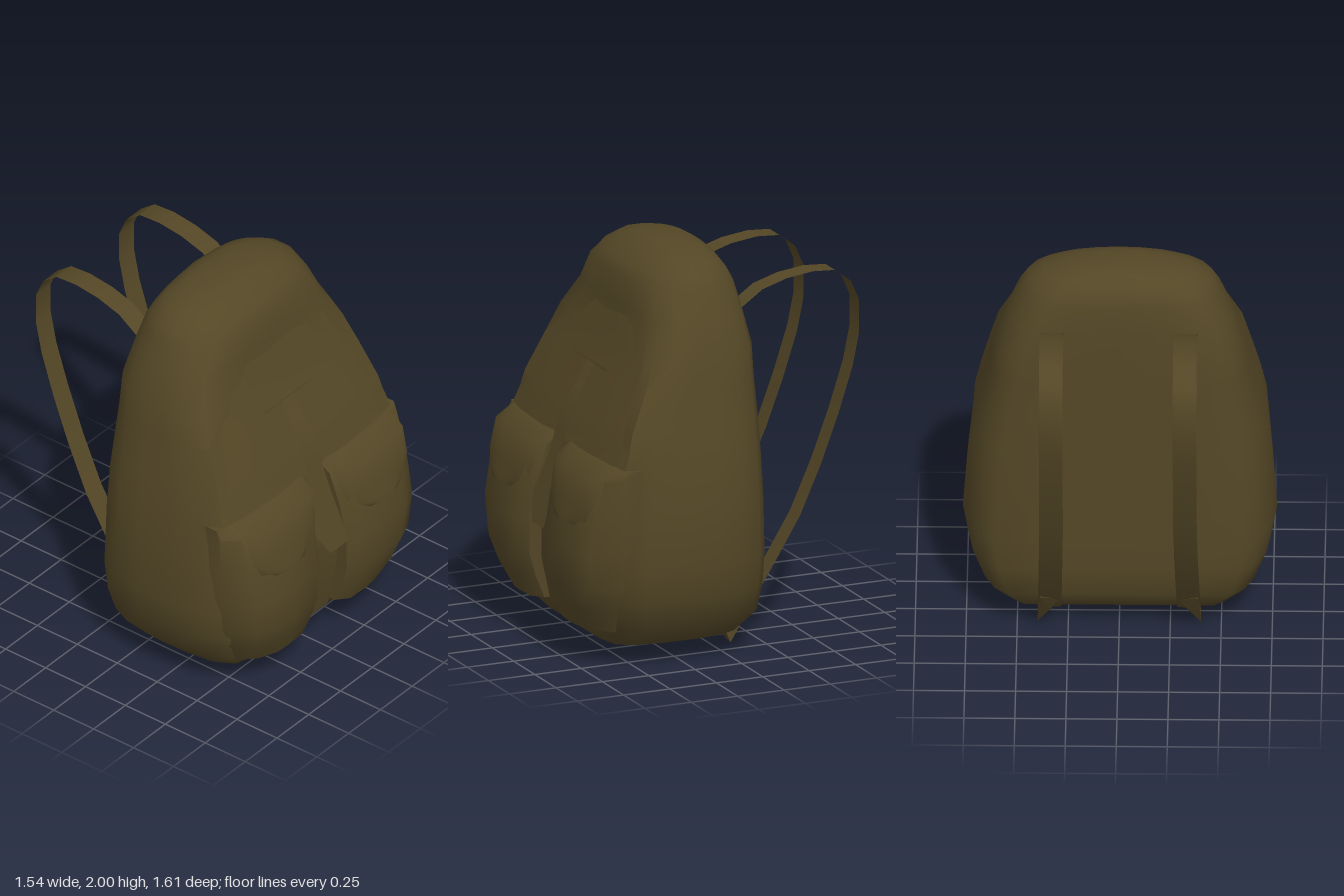
import * as THREE from 'three';
import { toCreasedNormals } from 'three/addons/utils/BufferGeometryUtils.js';
import { ConvexGeometry } from 'three/addons/geometries/ConvexGeometry.js';

const canvas = new THREE.MeshStandardMaterial({ color: 0x544726, side: THREE.DoubleSide });
canvas.name = 'olive canvas';

function geometryFrom(pos, idx) {
  const g = new THREE.BufferGeometry();
  g.setAttribute('position', new THREE.Float32BufferAttribute(pos, 3));
  g.setIndex(idx);
  g.computeVertexNormals();
  return g;
}

// Skin closed rings, listed bottom to top, and cap both ends
function loft(rings, crease) {
  const n = rings[0].length, pos = [], idx = [];
  rings.forEach(r => r.forEach(p => pos.push(...p)));
  for (let k = 0; k < rings.length - 1; k++) {
    for (let i = 0; i < n; i++) {
      const a = k * n + i, b = k * n + (i + 1) % n;
      idx.push(a, a + n, b, b, a + n, b + n);
    }
  }
  [0, rings.length - 1].forEach((k, top) => {
    const c = pos.length / 3;
    const mid = [0, 1, 2].map(d => rings[k].reduce((s, p) => s + p[d], 0) / n);
    pos.push(...mid);
    for (let i = 0; i < n; i++) {
      const a = k * n + i, b = k * n + (i + 1) % n;
      if (top) idx.push(c, b, a); else idx.push(c, a, b);
    }
  });
  return toCreasedNormals(geometryFrom(pos, idx), crease);
}

// Thin cloth strip through rows of [centre x, y, z, half width], bowed back at its edges
function ribbon(rows, bow = 0) {
  const cols = [-1, -0.8, -0.4, 0, 0.4, 0.8, 1], n = cols.length, pos = [], idx = [];
  rows.forEach(([x, y, z, h], k) => {
    cols.forEach(t => pos.push(x + t * h, y, z - bow * t ** 4));
    if (!k) return;
    for (let i = 0; i < n - 1; i++) {
      const a = (k - 1) * n + i, b = a + n;
      idx.push(a, b, a + 1, a + 1, b, b + 1);
    }
  });
  return geometryFrom(pos, idx.reverse());
}

// Pull the corners of a sack section towards an ellipse (r > 0) or square its front (r < 0)
function roundCorner([x, t], r) {
  const v = 2 * t - 1, over = Math.max(0, Math.hypot(x, v) - 1);
  const k = r < 0 && v < 0 ? 1 : 1 / (1 + r * over);
  const clamp = c => Math.max(-1, Math.min(1, c * k));
  return [clamp(x), (clamp(v) + 1) / 2];
}

export function createModel() {
  const group = new THREE.Group();
  const add = (name, geometry) => {
    const m = new THREE.Mesh(geometry, canvas);
    m.name = name;
    group.add(m);
  };

  // Main sack: [y, half width, back z, front z, corner rounding]
  const section = [[0.45, 0], [0.8, 0], [0.9, 0.07], [0.97, 0.2], [1, 0.38],
    [0.99, 0.6], [0.96, 0.8], [0.86, 0.95], [0.6, 1], [0.3, 1]];
  const outline = [...section, [0, 1],
    ...section.map(([x, t]) => [-x, t]).reverse(), [0, 0]];
  const levels = [
    [0.075, 0.5, -0.05, 0.56, 0], [0.1, 0.58, -0.11, 0.58, 0], [0.2, 0.68, -0.175, 0.63, 0],
    [0.35, 0.74, -0.185, 0.66, 0], [0.52, 0.77, -0.185, 0.67, 0], [0.8, 0.75, -0.185, 0.65, 0],
    [1.03, 0.725, -0.18, 0.6, -0.2], [1.2, 0.68, -0.18, 0.545, -0.3],
    [1.4, 0.635, -0.175, 0.45, -0.3], [1.55, 0.605, -0.175, 0.395, -0.2],
    [1.7, 0.555, -0.17, 0.355, 0.2], [1.84, 0.495, -0.17, 0.35, 0.5],
    [1.9, 0.46, -0.155, 0.31, 0.7], [1.95, 0.38, -0.12, 0.25, 0.8],
    [1.985, 0.25, -0.07, 0.19, 0.9], [2, 0.1, -0.02, 0.15, 0.9]];
  add('mainSack', loft(levels.map(([y, w, zb, zf, r]) => outline.map(p => {
    const [x, t] = roundCorner(p, r);
    return [x * w, y, zb + t * (zf - zb)];
  }), 1.0), 1.0));

  // Upper front flap lying over the sack
  add('frontFlap', ribbon([[0, 1.025, 0.625, 0.66], [0, 1.1, 0.595, 0.65], [0, 1.2, 0.56, 0.63],
    [0, 1.4, 0.463, 0.59], [0, 1.55, 0.404, 0.55], [0, 1.68, 0.358, 0.43]], 0.035));

  // Closing strap, its loose tail and the lower strap between the pockets
  add('closingStrap', ribbon([[0, 1.05, 0.635, 0.06], [0, 1.2, 0.595, 0.05],
    [0, 1.3, 0.525, 0.045], [0, 1.42, 0.46, 0.045]]));
  add('strapTail', ribbon([[0.03, 0.61, 0.77, 0.07], [-0.01, 0.74, 0.73, 0.1],
    [0, 0.9, 0.68, 0.07], [0, 1.05, 0.635, 0.06]]));
  add('lowerStrap', ribbon([[0, 0.17, 0.64, 0.1], [0, 0.4, 0.69, 0.1],
    [0.02, 0.62, 0.7, 0.1]]));
  add('strapBuckleBar', ribbon([[0, 1.395, 0.472, 0.19], [0, 1.41, 0.468, 0.19]]));

  for (const s of [1, -1]) {
    const side = s > 0 ? 'left' : 'right';

    // Front pocket: [y, inner x, outer x, front z], its outer wall sloping into the sack
    const pocket = [[0.18, 0.13, 0.48, 0.71], [0.3, 0.125, 0.55, 0.76], [0.42, 0.12, 0.59, 0.795],
      [0.6, 0.11, 0.615, 0.8], [0.8, 0.1, 0.62, 0.765], [0.98, 0.08, 0.62, 0.72],
      [1.03, 0.08, 0.62, 0.64]];
    add(side + 'Pocket', loft(pocket.map(([y, a, b, z]) => {
      const r = [[a, 0.48], [b + 0.07, 0.48], [b + 0.075, Math.min(0.6, z - 0.06)],
        [b, z - 0.04], [b - 0.1, z], [(a + b) / 2, z + 0.005], [a + 0.06, z], [a, z - 0.05]]
        .map(([x, zz]) => [x * s, y, zz]);
      return s > 0 ? r : r.reverse();
    }), 0.85));

    // Rounded pocket flap
    add(side + 'PocketFlap', ribbon([[0.37 * s, 0.73, 0.797, 0.13], [0.365 * s, 0.77, 0.79, 0.2],
      [0.36 * s, 0.85, 0.77, 0.245], [0.35 * s, 0.98, 0.735, 0.265],
      [0.35 * s, 1.04, 0.64, 0.27]], 0.035));

    // Shoulder strap arcing behind the back: [y, z]
    const path = [[1.7, -0.165], [1.78, -0.28], [1.82, -0.41], [1.838, -0.55], [1.83, -0.67],
      [1.765, -0.755], [1.66, -0.8], [1.5, -0.8], [1.33, -0.765], [1.1, -0.69],
      [0.85, -0.595], [0.6, -0.48], [0.4, -0.355], [0.23, -0.245], [0.12, -0.16]];
    add(side + 'ShoulderStrap', ribbon(path.map(([y, z], i) =>
      [s * (0.328 + 0.015 * Math.max(0, i - 10) / 4), y, z, 0.058])));

    // Folded tab where the strap meets the base
    add(side + 'StrapTab', new ConvexGeometry([[0.28, 0.27, -0.17], [0.39, 0.23, -0.25],
      [0.29, 0.2, -0.22], [0.34, 0.12, -0.18], [0.4, 0, -0.1], [0.28, 0.09, -0.04],
      [0.4, 0.12, -0.05]].map(([x, y, z]) => new THREE.Vector3(x * s, y, z))));
  }
  return group;
}
